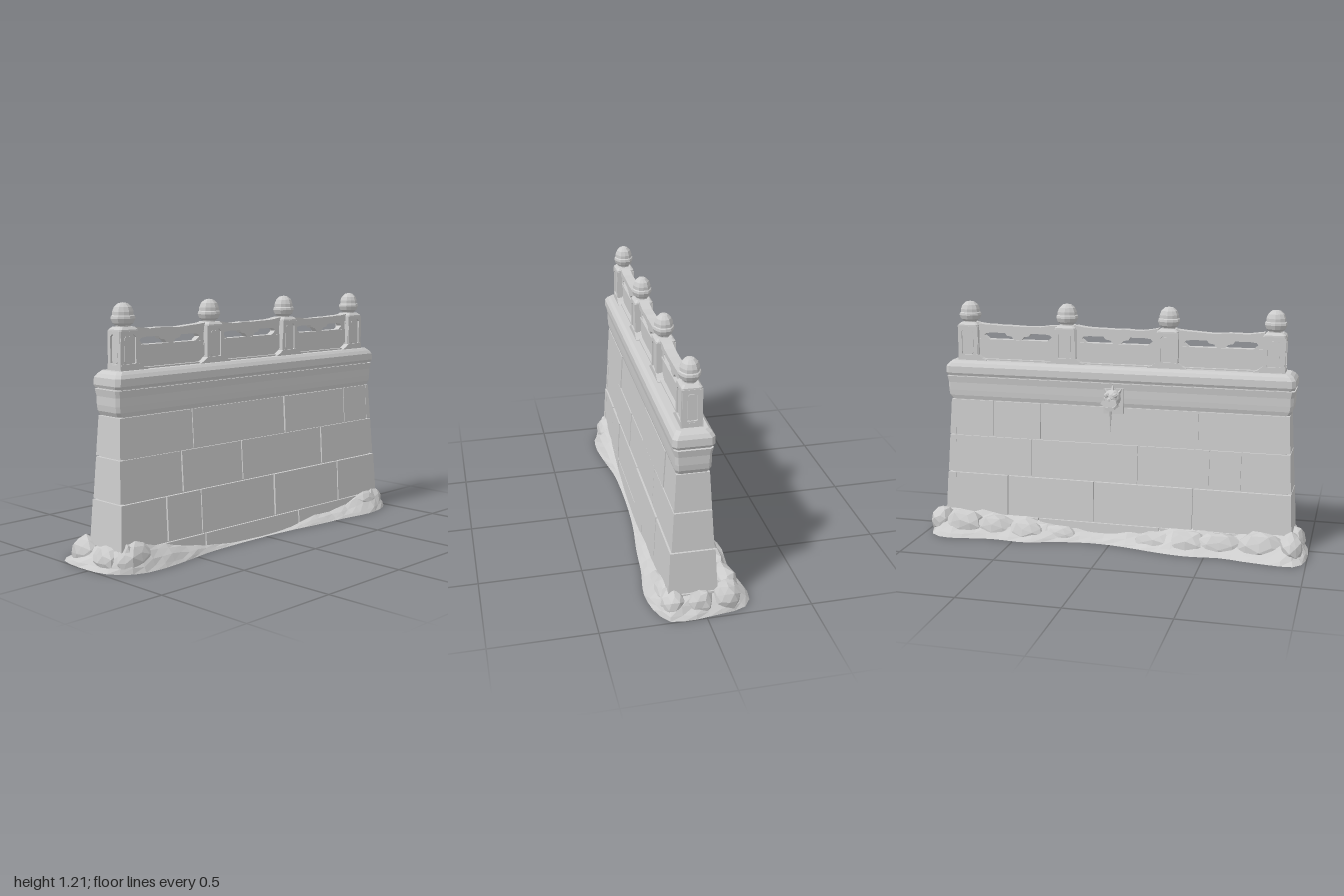
import * as THREE from 'three';

const stone = new THREE.MeshStandardMaterial({ color: 0xcccccc, flatShading: true, side: THREE.DoubleSide });
stone.name = 'stone';
const ZC = 0.0365; // wall centre line
const V = (x, y, z) => new THREE.Vector3(x, y, z);
const lerp = THREE.MathUtils.lerp, clamp = THREE.MathUtils.clamp;
const noise = (a, b = 0, c = 0) => {
  const s = Math.sin(a * 127.1 + b * 311.7 + c * 74.7) * 43758.5453;
  return (s - Math.floor(s)) * 2 - 1;
};

function add(parent, name, geo, x = 0, y = 0, z = 0) {
  const m = new THREE.Mesh(geo, stone);
  m.name = name;
  m.position.set(x, y, z);
  parent.add(m);
  return m;
}

// Skin a stack of closed rings, with optional end caps
function loft(rings, caps = true) {
  const p = [], n = rings[0].length;
  const tri = (...v) => v.forEach(q => p.push(q.x, q.y, q.z));
  for (let j = 0; j < rings.length - 1; j++) for (let i = 0; i < n; i++) {
    const k = (i + 1) % n, a = rings[j][i], b = rings[j][k], c = rings[j + 1][i], d = rings[j + 1][k];
    tri(a, c, b);
    tri(b, c, d);
  }
  if (caps) {
    const bot = rings[0], top = rings[rings.length - 1];
    for (let i = 1; i < n - 1; i++) {
      tri(bot[0], bot[i], bot[i + 1]);
      tri(top[0], top[i + 1], top[i]);
    }
  }
  const g = new THREE.BufferGeometry();
  g.setAttribute('position', new THREE.Float32BufferAttribute(p, 3));
  g.computeVertexNormals();
  return g;
}

// Rectangular ring with chamfered corners
const rectRing = (y, w, d, c) => [
  V(w, y, -d + c), V(w, y, d - c), V(w - c, y, d), V(-w + c, y, d),
  V(-w, y, d - c), V(-w, y, -d + c), V(-w + c, y, -d), V(w - c, y, -d)];
const tiers = (rows, c, caps = true) => loft(rows.map(([y, w, d]) => rectRing(y, w, d, c)), caps);

// Wall batter: half width and half depth at height y
const halfW = y => 0.925 - 0.055 * y;
const halfD = y => y < 0.31 ? lerp(0.12, 0.104, y / 0.31) : lerp(0.099, 0.0755, (y - 0.31) / 0.39);

// One facing block: front (s = 1), back (s = -1) or full-depth quoin (s = 0); null marks a wall end
function block(x0, x1, y0, y1, s) {
  const g = new THREE.BoxGeometry(1, 1, 1), p = g.attributes.position;
  const bump = 0.002 * noise((x0 ?? -1) * 9, y0 * 7, s);
  for (let i = 0; i < p.count; i++) {
    const y = lerp(y0, y1, p.getY(i) + 0.5), w = p.getZ(i) + 0.5, d = halfD(y) + s * s * bump;
    const x = p.getX(i) < 0 ? (x0 === null ? -halfW(y) : x0 + 0.004) : (x1 === null ? halfW(y) : x1 - 0.004);
    p.setXYZ(i, x, y, s === 0 ? d * (2 * w - 1) : s > 0 ? d - 0.02 * (1 - w) : 0.02 * w - d);
  }
  g.computeVertexNormals();
  return g;
}

// Irregular boulder resting on the ground
function boulder(x, y, z, sx, sy, sz) {
  const g = new THREE.IcosahedronGeometry(1, 1), p = g.attributes.position;
  for (let i = 0; i < p.count; i++) {
    const a = p.getX(i), b = p.getY(i), c = p.getZ(i);
    const k = 1 + 0.1 * noise(Math.round(a * 50) + x * 10, Math.round(b * 50), Math.round(c * 50));
    p.setXYZ(i, x + a * k * sx, Math.max(0.003, y + b * k * sy), z + c * k * sz);
  }
  g.computeVertexNormals();
  return g;
}

const poly = pts => new THREE.Shape(pts.map(q => new THREE.Vector2(...q)));
function slab(shape, depth) {
  const g = new THREE.ExtrudeGeometry(shape, { depth, bevelEnabled: false });
  return g.translate(0, 0, -depth / 2);
}

function buildPost(parent, x) {
  const g = new THREE.Group();
  g.name = 'post';
  g.position.x = x;
  parent.add(g);
  add(g, 'postCore', tiers([[0.89, 0.046, 0.04], [1.085, 0.046, 0.04]], 0.004));
  // Framed recess on each face, with a raised inner panel
  const oct = (w, a, b, c) => [[-w, a + c], [-w + c, a], [w - c, a], [w, a + c], [w, b - c], [w - c, b], [-w + c, b], [-w, b - c]];
  for (let i = 0; i < 4; i++) {
    const [half, out] = i % 2 ? [0.044, 0.051] : [0.053, 0.043];
    const frame = poly([[-half, 0.895], [half, 0.895], [half, 1.083], [-half, 1.083]]);
    frame.holes.push(new THREE.Path(oct(half - 0.019, 0.927, 1.068, 0.012).map(q => new THREE.Vector2(...q))));
    const f = new THREE.Group();
    f.name = 'postFace';
    f.rotation.y = i * Math.PI / 2;
    g.add(f);
    add(f, 'postFrame', slab(frame, 0.01), 0, 0, out);
    add(f, 'postPanel', slab(poly(oct(half - 0.026, 0.936, 1.06, 0.009)), 0.006), 0, 0, out - 0.003);
  }
  add(g, 'postCap', tiers([[1.08, 0.055, 0.048], [1.09, 0.054, 0.047], [1.102, 0.04, 0.036]], 0.008));
  // Bud finial with a scalloped lower collar
  const prof = [[0.034, 1.095], [0.035, 1.107], [0.05, 1.118], [0.059, 1.138], [0.057, 1.15], [0.051, 1.154],
    [0.051, 1.17], [0.042, 1.191], [0.023, 1.207], [0, 1.211]];
  const bud = new THREE.LatheGeometry(prof.map(q => new THREE.Vector2(...q)), 12), p = bud.attributes.position;
  for (let i = 0; i < p.count; i++) {
    const k = 1 - 0.06 * (Math.floor(i / prof.length) % 2);
    p.setX(i, p.getX(i) * k);
    p.setZ(i, p.getZ(i) * k * 0.88);
  }
  add(g, 'finial', bud);
  // Stepped foot brackets along the rail
  const l = x < -0.7 ? 0.056 : 0.1, r = x > 0.7 ? 0.056 : 0.1;
  add(g, 'postFoot', slab(poly([[-l, 0.89], [r, 0.89], [r, 0.908], [0.054 + (r - 0.054) * 0.5, 0.918], [0.054, 0.935],
    [-0.054, 0.935], [-0.054 - (l - 0.054) * 0.5, 0.918], [-l, 0.908]]), 0.1));
}

function buildRailing(parent, x0, x1) {
  const c = (x0 + x1) / 2, h = (x1 - x0) / 2 - 0.05, top = [];
  for (let i = 0; i <= 10; i++) {
    const t = i / 5 - 1;
    top.push([h * t, 1.088 + 0.012 * t ** 4 + 0.003 * noise(i, x0)]);
  }
  const shape = poly([[-h, 0.89], [h, 0.89], ...top.reverse()]);
  // Two long openings either side of a hanging cloud ornament
  for (const s of [1, -1]) shape.holes.push(new THREE.Path([
    [0.02, 1.015], [h - 0.055, 1.015], [h - 0.03, 1.034], [h - 0.04, 1.046], [h - 0.07, 1.05],
    [0.07, 1.05], [0.06, 1.036], [0.035, 1.032]].map(q => new THREE.Vector2(s * q[0], q[1]))));
  add(parent, 'railingPanel', slab(shape, 0.032), c);
  add(parent, 'topRail', slab(poly([[-h, 1.06], [h, 1.06], ...top]), 0.05), c);
  add(parent, 'middleRail', new THREE.BoxGeometry(2 * h, 0.01, 0.042), c, 1.01, 0);
  add(parent, 'bottomRail', new THREE.BoxGeometry(2 * h, 0.02, 0.07), c, 0.903, 0);
}

// Beast-head spout with a hanging icicle on the back
function buildSpout(parent) {
  const g = new THREE.Group();
  g.name = 'spout';
  parent.add(g);
  add(g, 'spoutPlate', new THREE.BoxGeometry(0.1, 0.13, 0.035), 0, 0.735, -0.042);
  add(g, 'spoutHead', new THREE.IcosahedronGeometry(1, 1), 0, 0.755, -0.08).scale.set(0.045, 0.045, 0.042);
  const snout = (name, y, z, r0, r1, len, tilt, flat) => {
    const geo = new THREE.CylinderGeometry(r1, r0, len, 7).scale(1, 1, flat).rotateX(-Math.PI / 2 + tilt);
    add(g, name, geo, 0, y, z);
  };
  snout('spoutMuzzle', 0.738, -0.115, 0.034, 0.044, 0.08, 0.1, 0.45);
  snout('spoutJaw', 0.712, -0.1, 0.032, 0.026, 0.08, -0.05, 0.45);
  add(g, 'spoutNose', new THREE.IcosahedronGeometry(0.014, 0), 0, 0.757, -0.144);
  add(g, 'spoutCrest', new THREE.ConeGeometry(0.02, 0.06, 5), 0, 0.798, -0.078).rotation.x = 0.15;
  for (const s of [1, -1]) {
    add(g, 'spoutEar', new THREE.ConeGeometry(0.014, 0.045, 4), s * 0.036, 0.788, -0.068).rotation.z = -s * 0.6;
    add(g, 'spoutBrow', new THREE.IcosahedronGeometry(0.014, 0), s * 0.022, 0.775, -0.112);
  }
  add(g, 'icicle', new THREE.ConeGeometry(0.012, 0.135, 6).rotateX(Math.PI), 0, 0.653, -0.125);
}

// Drifted ground mound around the foot: [x, z, height] around the outline
function buildMound(parent) {
  const outline = [[-0.94, -0.25, 0.09], [-0.72, -0.235, 0.1], [-0.58, -0.21, 0.08], [-0.41, -0.225, 0.09], [-0.235, -0.2, 0.07],
    [-0.09, -0.165, 0.05], [0.09, -0.145, 0.04], [0.3, -0.175, 0.06], [0.43, -0.215, 0.08], [0.62, -0.205, 0.09],
    [0.88, -0.235, 0.1], [0.955, -0.19, 0.1], [0.985, -0.05, 0.09], [0.995, 0.16, 0.09], [0.92, 0.215, 0.11],
    [0.77, 0.245, 0.085], [0.57, 0.22, 0.05], [0.38, 0.205, 0.04], [0.17, 0.18, 0.008], [-0.1, 0.168, 0.005],
    [-0.4, 0.175, 0.03], [-0.56, 0.2, 0.06], [-0.745, 0.22, 0.09], [-0.88, 0.2, 0.12], [-0.975, 0.105, 0.1],
    [-1, -0.05, 0.09], [-0.98, -0.21, 0.08]];
  const curve = new THREE.CatmullRomCurve3(outline.map(([x, z, h]) => V(x, h, z)), true);
  const pts = curve.getSpacedPoints(76).slice(0, 76);
  const steps = [[0, 0], [0.14, 0.22], [0.42, 0.58], [0.75, 0.92], [1, 1.08]];
  const rings = steps.map(([t, k], j) => pts.map((q, i) => {
    const ix = clamp(q.x, -0.9, 0.9), iz = clamp(q.z, ZC - 0.105, ZC + 0.105);
    const wob = j && j < 4 ? 0.06 * noise(i, j) : 0;
    return V(clamp(lerp(q.x, ix, t + wob), -1, 1), Math.max(0, q.y * k * (1 + (j ? 0.14 * noise(j, i) : 0))), lerp(q.z, iz, t + wob));
  }));
  add(parent, 'mound', loft(rings, false));
  const rocks = [
    [0.92, 0.055, -0.11, 0.06, 0.075, 0.07], [0.925, 0.04, 0.02, 0.055, 0.07, 0.065], [0.91, 0.04, 0.14, 0.065, 0.075, 0.06],
    [0.8, 0.045, -0.13, 0.11, 0.08, 0.07], [0.63, 0.03, -0.12, 0.12, 0.075, 0.065], [0.46, 0.02, -0.12, 0.11, 0.07, 0.07],
    [-0.92, 0.05, -0.12, 0.06, 0.08, 0.085], [-0.93, 0.04, 0.04, 0.05, 0.07, 0.08], [-0.84, 0.05, 0.14, 0.1, 0.08, 0.055],
    [-0.77, 0.04, -0.13, 0.13, 0.085, 0.07], [-0.57, 0.03, -0.12, 0.13, 0.075, 0.065], [-0.4, 0.02, -0.12, 0.11, 0.08, 0.075],
    [-0.23, 0.015, -0.11, 0.11, 0.065, 0.06], [0.29, 0.015, -0.1, 0.11, 0.055, 0.05], [0.82, 0.04, 0.15, 0.1, 0.07, 0.055]];
  rocks.forEach(r => add(parent, 'boulder', boulder(...r)));
}

export function createModel() {
  const model = new THREE.Group();
  model.name = 'parapetWall';
  buildMound(model);

  const wall = new THREE.Group();
  wall.name = 'wall';
  wall.position.z = ZC;
  wall.rotation.y = -0.0125;
  model.add(wall);
  // Hollow backing, open underneath
  add(wall, 'wallCore', tiers([[0, 0.91, 0.108], [0.31, 0.895, 0.09], [0.72, 0.87, 0.066]], 0.01, false));

  // Masonry courses: bottom, top, front joints, back joints
  const courses = [
    [0, 0.088, [-0.4, 0.27], [-0.25, 0.4]],
    [0.094, 0.306, [-0.64, -0.42, 0.09, 0.59], [-0.42, 0.1, 0.57]],
    [0.313, 0.507, [-0.53, -0.13, 0.47], [-0.66, -0.5, -0.13, 0.44]],
    [0.513, 0.698, [-0.45, 0.19, 0.67], [-0.44, 0.39, 0.65]]];
  for (const [y0, y1, front, back] of courses) {
    for (const [s, joints] of [[1, front], [-1, back]]) {
      const xs = [null, ...joints, null];
      for (let i = 0; i < xs.length - 1; i++) add(wall, 'masonryBlock', block(xs[i], xs[i + 1], y0, y1, s));
    }
    add(wall, 'quoin', block(null, -0.86, y0, y1, 0));
    add(wall, 'quoin', block(0.86, null, y0, y1, 0));
  }

  // Cornice and coping
  add(wall, 'cornice', tiers([[0.702, 0.887, 0.0755], [0.722, 0.898, 0.081], [0.75, 0.902, 0.0825], [0.79, 0.902, 0.083], [0.823, 0.908, 0.088]], 0.014));
  add(wall, 'corniceGroove', tiers([[0.815, 0.89, 0.078], [0.84, 0.89, 0.078]], 0.012));
  add(wall, 'coping', tiers([[0.829, 0.905, 0.09], [0.842, 0.911, 0.096], [0.876, 0.909, 0.095], [0.893, 0.897, 0.084], [0.906, 0.88, 0.071]], 0.018));

  // Balustrade
  const posts = [-0.797, -0.265, 0.267, 0.797];
  posts.forEach(x => buildPost(wall, x));
  for (let i = 0; i < 3; i++) buildRailing(wall, posts[i], posts[i + 1]);

  buildSpout(model);
  return model;
}
